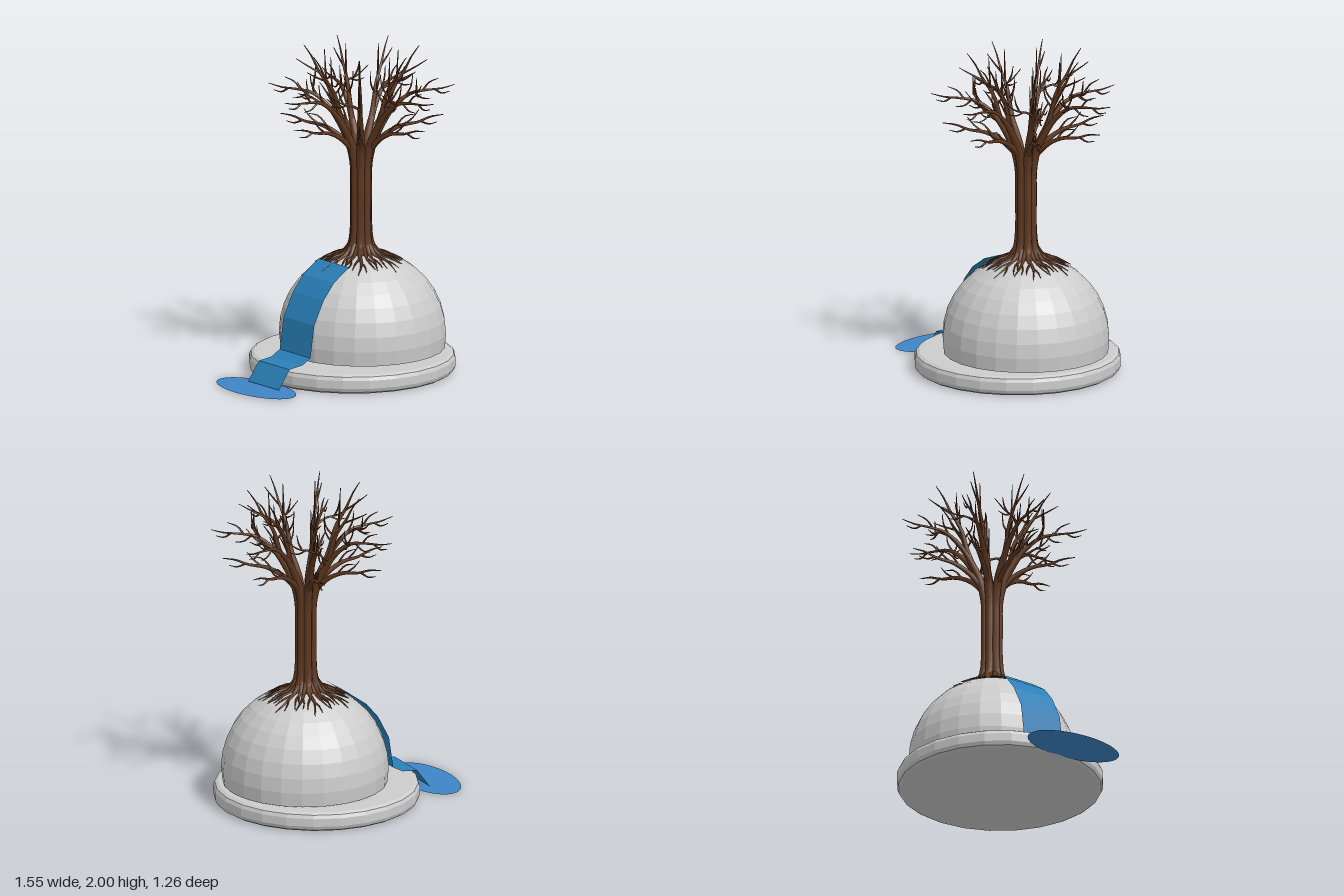
import * as THREE from 'three';

const stone = new THREE.MeshStandardMaterial({ color: 0xcccccc, flatShading: true, side: THREE.DoubleSide });
const bark = new THREE.MeshStandardMaterial({ color: 0x5f3820, side: THREE.DoubleSide });
const streamBlue = new THREE.MeshStandardMaterial({ color: 0x2980b9, flatShading: true, side: THREE.DoubleSide });
const pondBlue = new THREE.MeshStandardMaterial({ color: 0x3d85c6, side: THREE.DoubleSide });

const DOME = { x: 0.225, y: 0.22, r: 0.51 };
const domeHeight = (r) => DOME.y + Math.sqrt(DOME.r ** 2 - r ** 2);

function part(name, geometry, material, parent) {
  const mesh = new THREE.Mesh(geometry, material);
  mesh.name = name;
  parent.add(mesh);
  return mesh;
}

// Tapered tube through points [outward, up, sideways, radius]
function limb(points, sides = 6) {
  const curve = new THREE.CatmullRomCurve3(points.map(([x, y, z]) => new THREE.Vector3(x, y, z)));
  const steps = (points.length - 1) * 3;
  const geometry = new THREE.TubeGeometry(curve, steps, 1, sides, false);
  const pos = geometry.attributes.position;
  const v = new THREE.Vector3();
  for (let i = 0; i <= steps; i++) {
    const u = i / steps;
    const centre = curve.getPointAt(u);
    const s = curve.getUtoTmapping(u) * (points.length - 1);
    const k = Math.min(Math.floor(s), points.length - 2);
    const radius = THREE.MathUtils.lerp(points[k][3], points[k + 1][3], s - k);
    for (let j = 0; j <= sides; j++) {
      const n = i * (sides + 1) + j;
      v.fromBufferAttribute(pos, n).sub(centre).multiplyScalar(radius).add(centre);
      pos.setXYZ(n, v.x, v.y, v.z);
    }
  }
  return geometry;
}

// Root crawling over the dome through [radius, angle, thickness]
const root = (steps) => limb(steps.map(([r, a, w]) =>
  [r * Math.cos(a), domeHeight(r) + (r < 0.08 ? 0.05 : 0.004), r * Math.sin(a), w]), 5);

const TRUNK = [[0.085, 0.715, 0, 0.026], [0.055, 0.78, 0, 0.027], [0.043, 0.9, 0, 0.026], [0.043, 1.1, 0, 0.026],
  [0.045, 1.28, 0, 0.027], [0.075, 1.41, 0, 0.027], [0.13, 1.52, 0, 0.021], [0.2, 1.62, 0, 0.016],
  [0.3, 1.7, 0, 0.011], [0.42, 1.72, 0, 0.007], [0.5, 1.725, 0, 0.005], [0.58, 1.745, 0, 0.002]];

const BRANCHES = {
  lowerBranch: [[0.06, 1.37, 0, 0.02], [0.15, 1.455, 0, 0.016], [0.25, 1.505, 0, 0.012], [0.35, 1.52, 0, 0.008],
    [0.43, 1.55, 0, 0.006], [0.51, 1.56, 0, 0.002]],
  upperBranch: [[0.09, 1.44, 0, 0.02], [0.155, 1.59, 0, 0.016], [0.2, 1.74, 0, 0.012], [0.27, 1.85, 0, 0.008],
    [0.31, 1.93, 0, 0.005], [0.36, 2.0, 0, 0.002]],
  sideBranch: [[0.28, 1.685, 0, 0.009], [0.315, 1.72, 0.05, 0.007], [0.33, 1.74, 0.12, 0.005], [0.335, 1.8, 0.2, 0.002]],
};

const TWIGS = [
  [[0.27, 1.51, 0], [0.32, 1.55, 0], [0.36, 1.6, 0]],
  [[0.37, 1.525, 0], [0.42, 1.505, 0], [0.47, 1.515, 0]],
  [[0.2, 1.48, 0], [0.27, 1.56, 0], [0.33, 1.57, 0]],
  [[0.27, 1.68, 0], [0.31, 1.75, 0], [0.32, 1.82, 0]],
  [[0.38, 1.715, 0], [0.42, 1.765, 0], [0.48, 1.79, 0]],
  [[0.46, 1.72, 0], [0.5, 1.695, 0], [0.55, 1.705, 0]],
  [[0.33, 1.71, 0], [0.38, 1.67, 0], [0.43, 1.665, 0]],
  [[0.22, 1.78, 0], [0.225, 1.88, 0], [0.23, 1.98, 0]],
  [[0.26, 1.83, 0], [0.34, 1.87, 0], [0.41, 1.91, 0]],
  [[0.18, 1.68, 0], [0.13, 1.75, 0], [0.12, 1.83, 0]],
  [[0.17, 1.63, 0], [0.23, 1.73, 0], [0.26, 1.77, 0]],
  [[0.325, 1.735, 0.1], [0.32, 1.78, 0.12], [0.32, 1.83, 0.13]],
  [[0.32, 1.73, 0.07], [0.33, 1.71, 0.12], [0.335, 1.72, 0.17]],
];

const ROOTS = [
  [[0.06, 0, 0.022], [0.11, 0.03, 0.014], [0.2, -0.05, 0.008], [0.29, 0.03, 0.002]],
  [[0.06, 0.2, 0.018], [0.11, 0.35, 0.011], [0.18, 0.38, 0.007], [0.26, 0.47, 0.002]],
  [[0.06, -0.2, 0.018], [0.11, -0.33, 0.011], [0.17, -0.3, 0.007], [0.25, -0.4, 0.002]],
  [[0.14, 0, 0.009], [0.19, 0.14, 0.006], [0.25, 0.18, 0.002]],
  [[0.18, -0.03, 0.007], [0.22, -0.14, 0.005], [0.27, -0.16, 0.002]],
  [[0.15, 0.37, 0.007], [0.2, 0.28, 0.005], [0.24, 0.3, 0.002]],
  [[0.14, -0.31, 0.007], [0.18, -0.43, 0.005], [0.22, -0.47, 0.002]],
];

// One of the seven strands: root fan, trunk stem and its flat spray of branches
function createStrand() {
  const strand = new THREE.Group();
  strand.name = 'treeStrand';
  part('trunkStem', limb(TRUNK, 8), bark, strand);
  for (const [name, points] of Object.entries(BRANCHES)) part(name, limb(points), bark, strand);
  for (const points of TWIGS) {
    part('twig', limb(points.map((p, i) => [...p, [0.007, 0.005, 0.002][i]]), 5), bark, strand);
  }
  for (const steps of ROOTS) part('root', root(steps), bark, strand);
  return strand;
}

export function createModel() {
  const model = new THREE.Group();
  model.name = 'treeOnDome';

  // Round plinth with a softened rim
  const rim = [[0, 0], [0.6, 0], [0.62, 0.012], [0.63, 0.035], [0.63, 0.085], [0.62, 0.107], [0.6, 0.118], [0, 0.118]];
  const plinth = part('plinth', new THREE.LatheGeometry(rim.map((p) => new THREE.Vector2(...p)), 24), stone, model);
  plinth.position.x = 0.145;

  // Dome, cut just under its widest ring
  const dome = part('dome', new THREE.SphereGeometry(DOME.r, 24, 10, 0, Math.PI * 2, 0, Math.PI * 100 / 180), stone, model);
  dome.position.set(DOME.x, DOME.y, 0);

  // Stream sheet running down the dome and over the plinth
  const course = [[0, 0.69], [-0.12, 0.61], [-0.2, 0.515], [-0.275, 0.37], [-0.305, 0.17],
    [-0.37, 0.135], [-0.47, 0.125], [-0.555, 0.01]];
  const sheet = new THREE.PlaneGeometry(1, 1, 1, course.length - 1);
  course.forEach(([x, y], i) => {
    sheet.attributes.position.setXYZ(i * 2, x, y, -0.15);
    sheet.attributes.position.setXYZ(i * 2 + 1, x, y, 0.142);
  });
  part('stream', sheet, streamBlue, model);

  // Oval pond on the ground
  const pond = part('pond', new THREE.CircleGeometry(1, 48), pondBlue, model);
  pond.rotation.x = -Math.PI / 2;
  pond.scale.set(0.165, 0.323, 1);
  pond.position.set(-0.613, 0.004, -0.003);

  // Tree: seven strands around a hollow centre
  const tree = new THREE.Group();
  tree.name = 'tree';
  tree.position.set(0.22, 0, -0.008);
  const strand = createStrand();
  for (let i = 0; i < 7; i++) {
    const copy = strand.clone();
    copy.rotation.y = -(THREE.MathUtils.degToRad(183) + (i * Math.PI * 2) / 7);
    tree.add(copy);
  }
  model.add(tree);
  return model;
}
